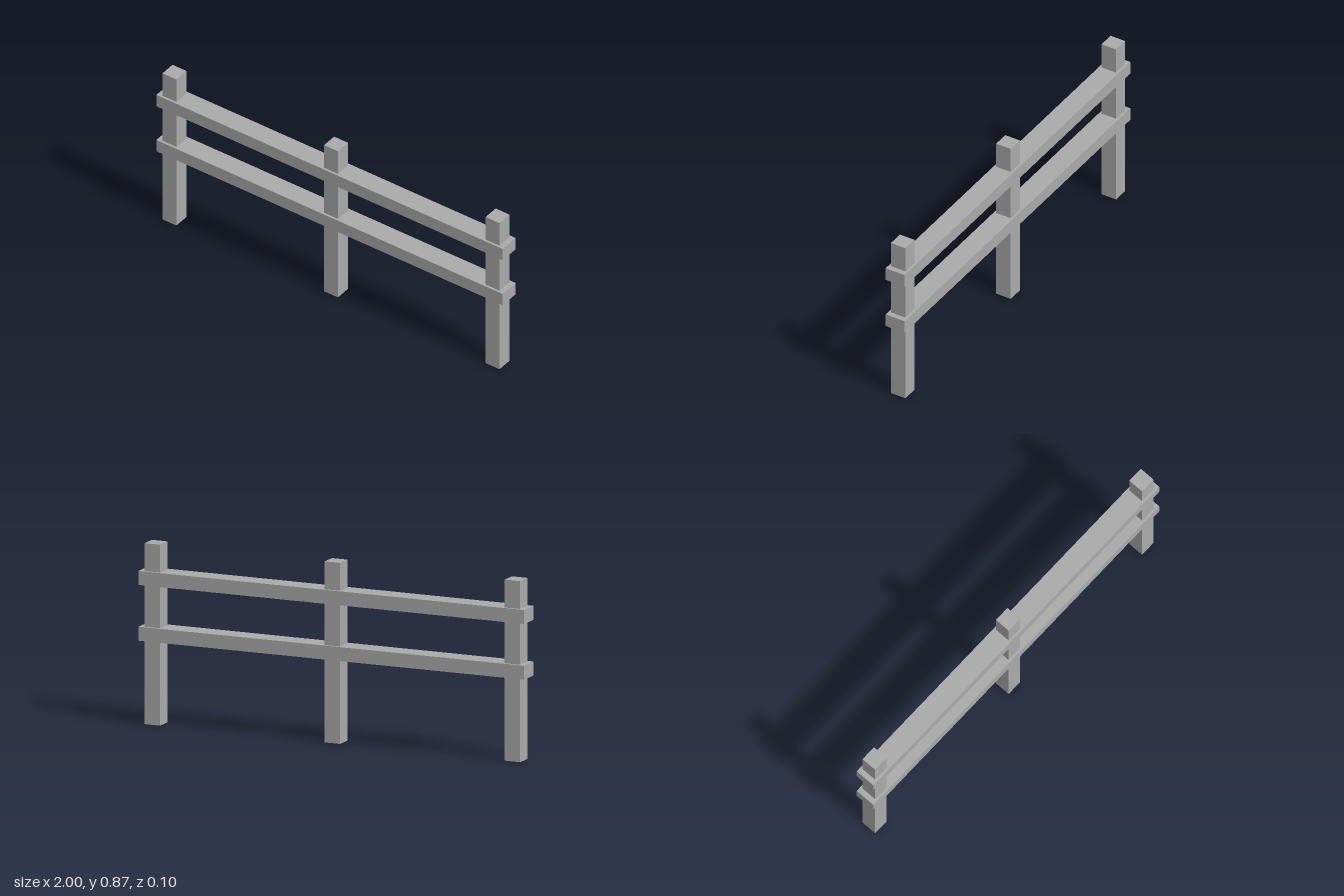
import * as THREE from 'three';

export function createModel() {
  const fence = new THREE.Group();
  fence.name = 'fence';

  const grey = new THREE.MeshStandardMaterial({ color: 0xaaaaaa });
  grey.name = 'grey';

  const addBox = (name, size, x, y) => {
    const mesh = new THREE.Mesh(new THREE.BoxGeometry(...size), grey);
    mesh.name = name;
    mesh.position.set(x, y, 0);
    fence.add(mesh);
  };

  // Three square posts standing on the ground
  const postHeight = 0.867;
  [['rightPost', -0.933], ['middlePost', 0], ['leftPost', 0.933]].forEach(([name, x]) =>
    addBox(name, [0.08, postHeight, 0.08], x, postHeight / 2));

  // Two long rails enclosing the posts
  [['lowerRail', 0.433], ['upperRail', 0.7]].forEach(([name, y]) =>
    addBox(name, [2, 0.067, 0.104], 0, y));

  return fence;
}
